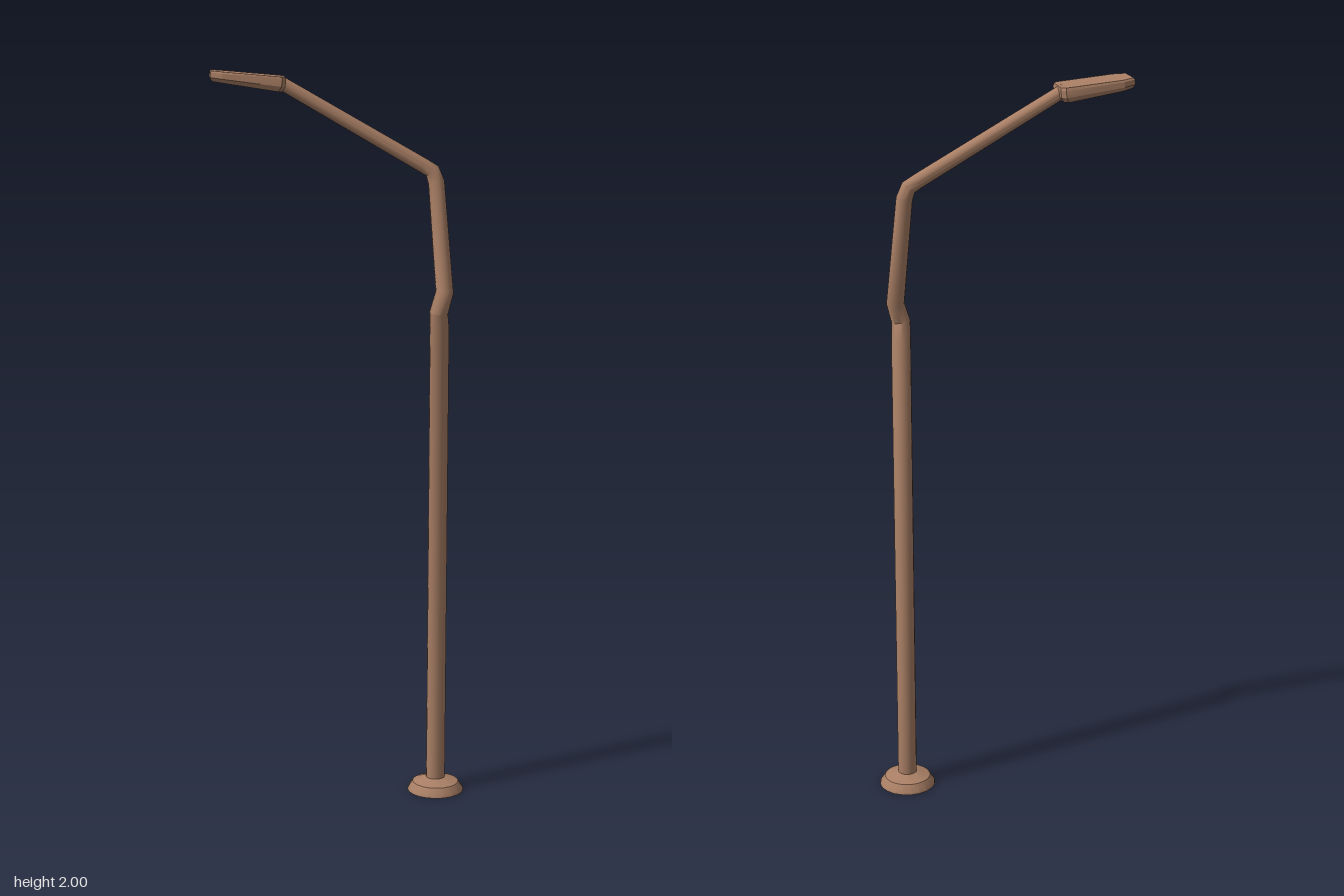
import * as THREE from 'three';
import { toCreasedNormals } from 'three/addons/utils/BufferGeometryUtils.js';

// Skins equal-length rings of points and closes both ends
function loft(rings, crease) {
  const n = rings[0].length, pos = [], index = [];
  rings.forEach(r => r.forEach(p => pos.push(p.x, p.y, p.z)));
  for (let r = 0; r < rings.length - 1; r++) {
    for (let i = 0; i < n; i++) {
      const a = r * n + i, b = r * n + (i + 1) % n;
      index.push(a, b, b + n, a, b + n, a + n);
    }
  }
  const end = (rings.length - 1) * n;
  for (let i = 1; i < n - 1; i++) {
    index.push(0, i + 1, i, end, end + i, end + i + 1);
  }
  const g = new THREE.BufferGeometry();
  g.setAttribute('position', new THREE.Float32BufferAttribute(pos, 3));
  g.setIndex(index);
  return toCreasedNormals(g, crease);
}

// Tube along a bent centre line; each stop is x, y, z, radius
function bentTube(stops, sides) {
  const pts = stops.map(s => new THREE.Vector3(s[0], s[1], s[2]));
  const up = new THREE.Vector3(0, 1, 0);
  const dir = (a, b) => b.clone().sub(a).normalize();
  const rings = pts.map((p, k) => {
    const t = new THREE.Vector3();
    if (k > 0) t.add(dir(pts[k - 1], p));
    if (k < pts.length - 1) t.add(dir(p, pts[k + 1]));
    const q = new THREE.Quaternion().setFromUnitVectors(up, t.normalize());
    return Array.from({ length: sides }, (_, i) => {
      const a = (i / sides) * Math.PI * 2, r = stops[k][3];
      return new THREE.Vector3(Math.cos(a) * r, 0, -Math.sin(a) * r).applyQuaternion(q).add(p);
    });
  });
  return loft(rings, 0.7);
}

export function createModel() {
  const model = new THREE.Group();
  const bronze = new THREE.MeshStandardMaterial({ color: 0xa97f65 });
  const bronzeShell = new THREE.MeshStandardMaterial({ color: 0xa97f65, side: THREE.DoubleSide });
  const add = (name, geometry, material = bronze) => {
    const mesh = new THREE.Mesh(geometry, material);
    mesh.name = name;
    bronze.name = 'bronze';
    bronzeShell.name = 'bronzeShell';
    model.add(mesh);
    return mesh;
  };

  // Hollow flared foot
  const profile = [[0.078, 0], [0.077, 0.005], [0.064, 0.025], [0.024, 0.038]]
    .map(p => new THREE.Vector2(...p));
  const foot = add('base', toCreasedNormals(new THREE.LatheGeometry(profile, 20), 0.4), bronzeShell);
  foot.position.set(0.255, 0, 0.077);

  // Straight post, kinked upper section and arm in one run
  add('poleAndArm', bentTube([
    [0.255, 0.02, 0.077, 0.026],
    [0.255, 1.31, 0.077, 0.026],
    [0.245, 1.355, 0.097, 0.025],
    [0.264, 1.41, 0.09, 0.024],
    [0.253, 1.70, 0.049, 0.022],
    [0.244, 1.73, 0.042, 0.021],
    [0.22, 1.745, 0.036, 0.02],
    [-0.15, 1.968, -0.076, 0.018],
  ], 16));

  // Lamp head: chamfered outline, thinner at the far end, recessed underside
  const outline = [
    [0.1, -0.037], [0.1, 0.037], [0.068, 0.05], [-0.089, 0.05],
    [-0.1, 0.037], [-0.1, -0.037], [-0.089, -0.05], [0.068, -0.05],
  ];
  const ring = (sx, sz, y) => outline.map(([x, z]) =>
    new THREE.Vector3(x * sx, y * (1 - 2 * x * sx), -z * sz));
  const head = add('lampHead', loft([
    ring(0.7, 0.66, -0.006),
    ring(0.74, 0.72, -0.018),
    ring(0.93, 0.86, -0.018),
    ring(1, 1, -0.006),
    ring(1, 1, 0.010),
    ring(0.975, 0.95, 0.016),
  ], 0.35));
  head.position.set(-0.229, 1.973, -0.092);
  head.rotation.set(0, Math.PI - 0.235, 0.12);
  head.rotation.order = 'YXZ';

  return model;
}
